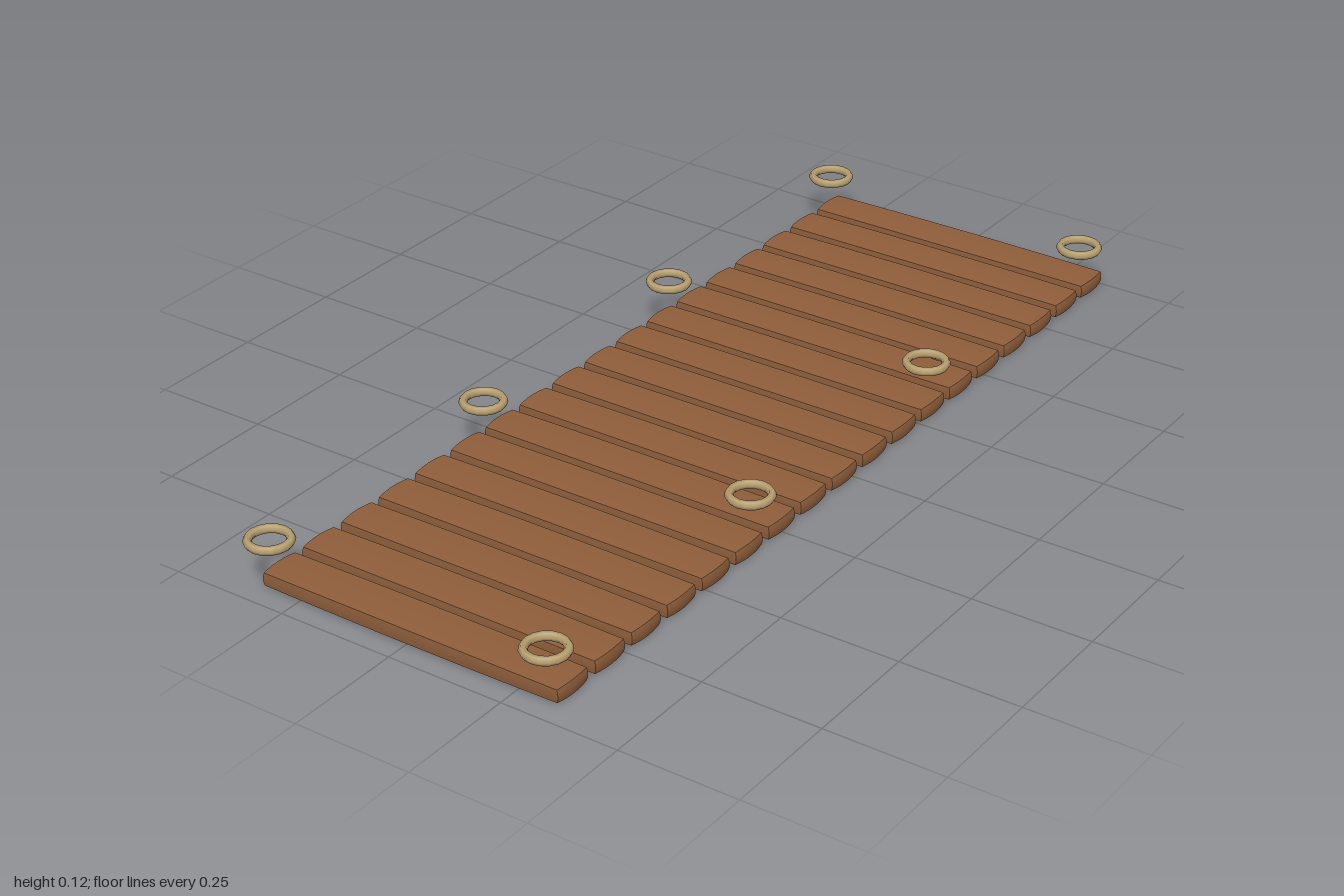
import * as THREE from 'three';

const wood = new THREE.MeshStandardMaterial({ color: 0x8f5e3b });
wood.name = 'brown wood';
const rope = new THREE.MeshStandardMaterial({ color: 0xb8a070 });
rope.name = 'tan rope';

// Plank whose faces swell slightly towards their middles
function plankGeometry(hx, hy, hz) {
  const geometry = new THREE.BoxGeometry(2, 2, 2, 10, 4, 6);
  const p = geometry.attributes.position;
  for (let i = 0; i < p.count; i++) {
    const x = p.getX(i), y = p.getY(i), z = p.getZ(i);
    p.setXYZ(i,
      x * (hx - 0.0025 * y * y - 0.004 * z * z),
      y * (hy - 0.0015 * x * x - 0.0015 * z * z),
      z * (hz - 0.002 * x * x - 0.001 * y * y));
  }
  geometry.computeVertexNormals();
  return geometry;
}

export function createModel() {
  const model = new THREE.Group();
  model.name = 'plankBridge';

  // Deck of evenly spaced planks
  const deck = new THREE.Group();
  deck.name = 'deck';
  const plank = plankGeometry(0.341, 0.0165, 0.046);
  const count = 18;
  for (let i = 0; i < count; i++) {
    const mesh = new THREE.Mesh(plank, wood);
    mesh.name = `plank${i + 1}`;
    mesh.position.set(0, 0.0165, -0.954 + (i * 1.86) / (count - 1));
    deck.add(mesh);
  }
  model.add(deck);

  // Rope rings above both edges of the deck
  const rings = new THREE.Group();
  rings.name = 'ropeRings';
  const ring = new THREE.TorusGeometry(0.04, 0.009, 6, 16);
  ring.rotateX(-Math.PI / 2);
  for (const side of [-1, 1]) {
    for (let i = 0; i < 4; i++) {
      const mesh = new THREE.Mesh(ring, rope);
      mesh.name = `${side > 0 ? 'left' : 'right'}Ring${i + 1}`;
      mesh.position.set(side * 0.314, 0.109, -0.931 + i * 0.627);
      rings.add(mesh);
    }
  }
  model.add(rings);
  return model;
}
